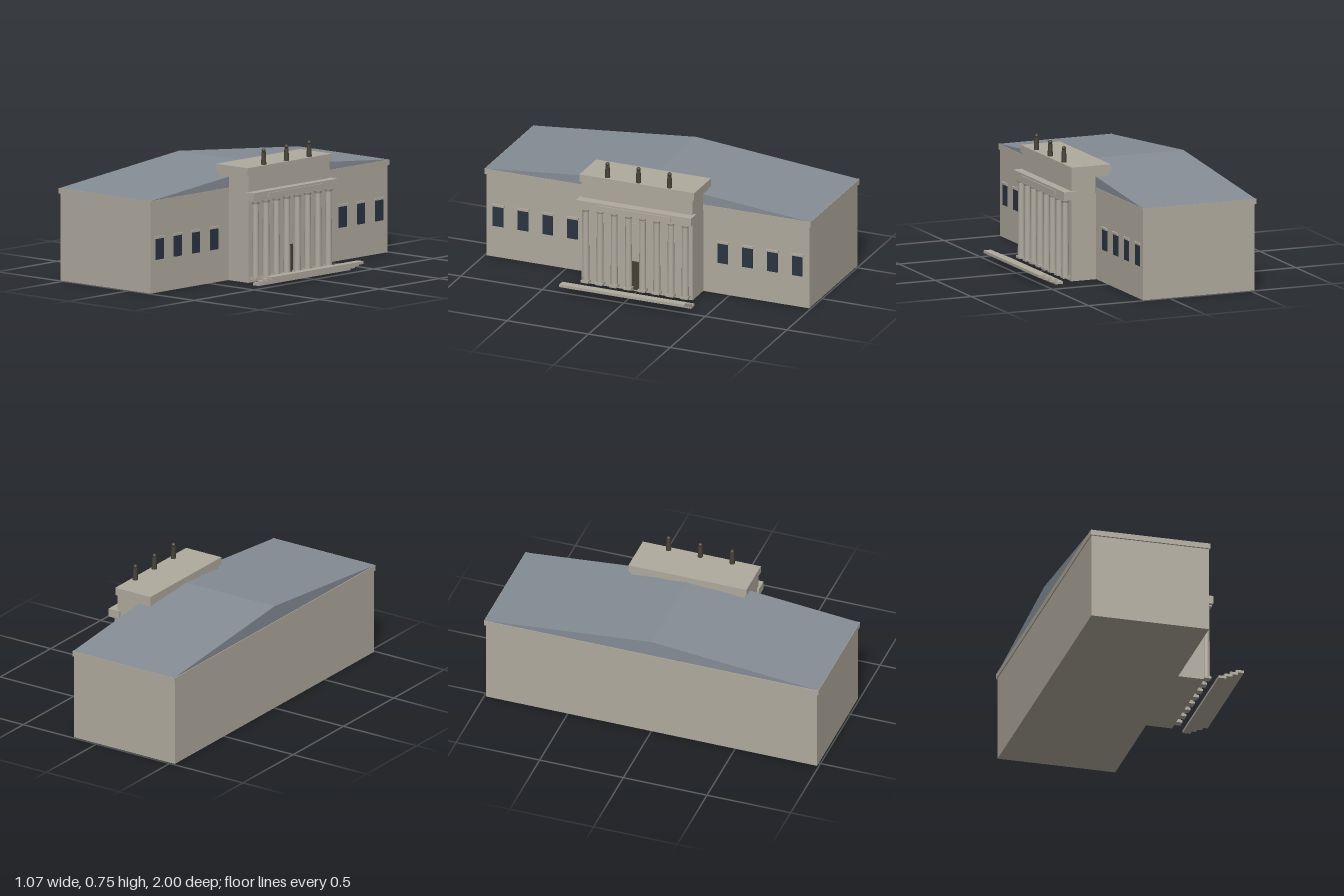
import * as THREE from 'three';

const mat = (name, color) => {
  const m = new THREE.MeshStandardMaterial({ color });
  m.name = name;
  return m;
};

export function createModel() {
  const model = new THREE.Group();
  model.name = 'courthouse';
  const stone = mat('stone', 0xb0aa9e);
  const slate = mat('slate', 0x858d95);
  const glass = mat('windowGlass', 0x2b3442);
  const bronze = mat('bronze', 0x474135);

  const add = (name, geometry, material, parent = model) => {
    const mesh = new THREE.Mesh(geometry, material);
    mesh.name = name;
    parent.add(mesh);
    return mesh;
  };
  // Box given by its x and y ranges, its z centre and its z width
  const box = (name, material, x0, x1, y0, y1, z, w, parent) => {
    const mesh = add(name, new THREE.BoxGeometry(x1 - x0, y1 - y0, w), material, parent);
    mesh.position.set((x0 + x1) / 2, (y0 + y1) / 2, z);
    return mesh;
  };

  // Main hall with cornice
  box('mainHall', stone, -0.528, 0.159, 0, 0.5, 0, 1.98);
  box('cornice', stone, -0.534, 0.165, 0.497, 0.528, 0, 2);

  // Shallow roof with its ridge running along x
  const gable = new THREE.Shape([
    new THREE.Vector2(-0.998, 0.528), new THREE.Vector2(0.998, 0.528), new THREE.Vector2(0, 0.622),
  ]);
  const roof = add('roof', new THREE.ExtrudeGeometry(gable, { depth: 0.692, bevelEnabled: false }), slate);
  roof.rotation.y = Math.PI / 2;
  roof.position.x = -0.53;

  // Central pavilion and its attic cap
  box('pavilion', stone, 0.084, 0.311, 0, 0.612, 0, 0.68);
  box('atticCap', stone, 0.075, 0.316, 0.612, 0.656, 0, 0.705);
  box('entablature', stone, 0.289, 0.362, 0.47, 0.518, 0, 0.705);
  box('friezePanel', stone, 0.36, 0.368, 0.481, 0.506, 0, 0.46);

  // Entrance
  box('door', bronze, 0.31, 0.3145, 0.008, 0.18, 0, 0.06);
  box('panelAboveDoor', stone, 0.31, 0.3145, 0.19, 0.41, 0, 0.06);

  // Colonnade
  const shaft = new THREE.CylinderGeometry(0.0175, 0.0205, 0.43, 16);
  const capital = new THREE.CylinderGeometry(0.025, 0.019, 0.015, 16);
  for (let i = 0; i < 8; i++) {
    const z = (i - 3.5) * 0.087;
    const column = new THREE.Group();
    column.name = 'column';
    model.add(column);
    box('columnBase', stone, 0.311, 0.356, 0.016, 0.03, z, 0.045, column);
    add('columnShaft', shaft, stone, column).position.set(0.3335, 0.243, z);
    add('columnCapital', capital, stone, column).position.set(0.3335, 0.457, z);
    box('columnAbacus', stone, 0.309, 0.36, 0.463, 0.471, z, 0.05, column);
  }

  // Detached flight of steps
  [0.384, 0.418, 0.452, 0.486].forEach((x, i) => {
    box('step', stone, x, x + 0.045, i * 0.0155, (i + 1) * 0.0155, 0, 0.765);
  });

  // Windows of both wings
  for (const side of [-1, 1]) {
    for (let i = 0; i < 4; i++) {
      const z = side * (0.461 + i * 0.152);
      box('window', glass, 0.157, 0.164, 0.188, 0.308, z, 0.064);
      box('windowLintel', stone, 0.157, 0.169, 0.308, 0.321, z, 0.076);
    }
  }

  // Roof statues
  const body = new THREE.CylinderGeometry(0.012, 0.0155, 0.07, 12);
  const head = new THREE.SphereGeometry(0.012, 12, 8);
  for (const z of [-0.19, 0, 0.19]) {
    const statue = new THREE.Group();
    statue.name = 'statue';
    statue.position.set(0.291, 0.656, z);
    model.add(statue);
    add('statueBody', body, bronze, statue).position.y = 0.035;
    add('statueHead', head, bronze, statue).position.y = 0.08;
  }
  return model;
}
